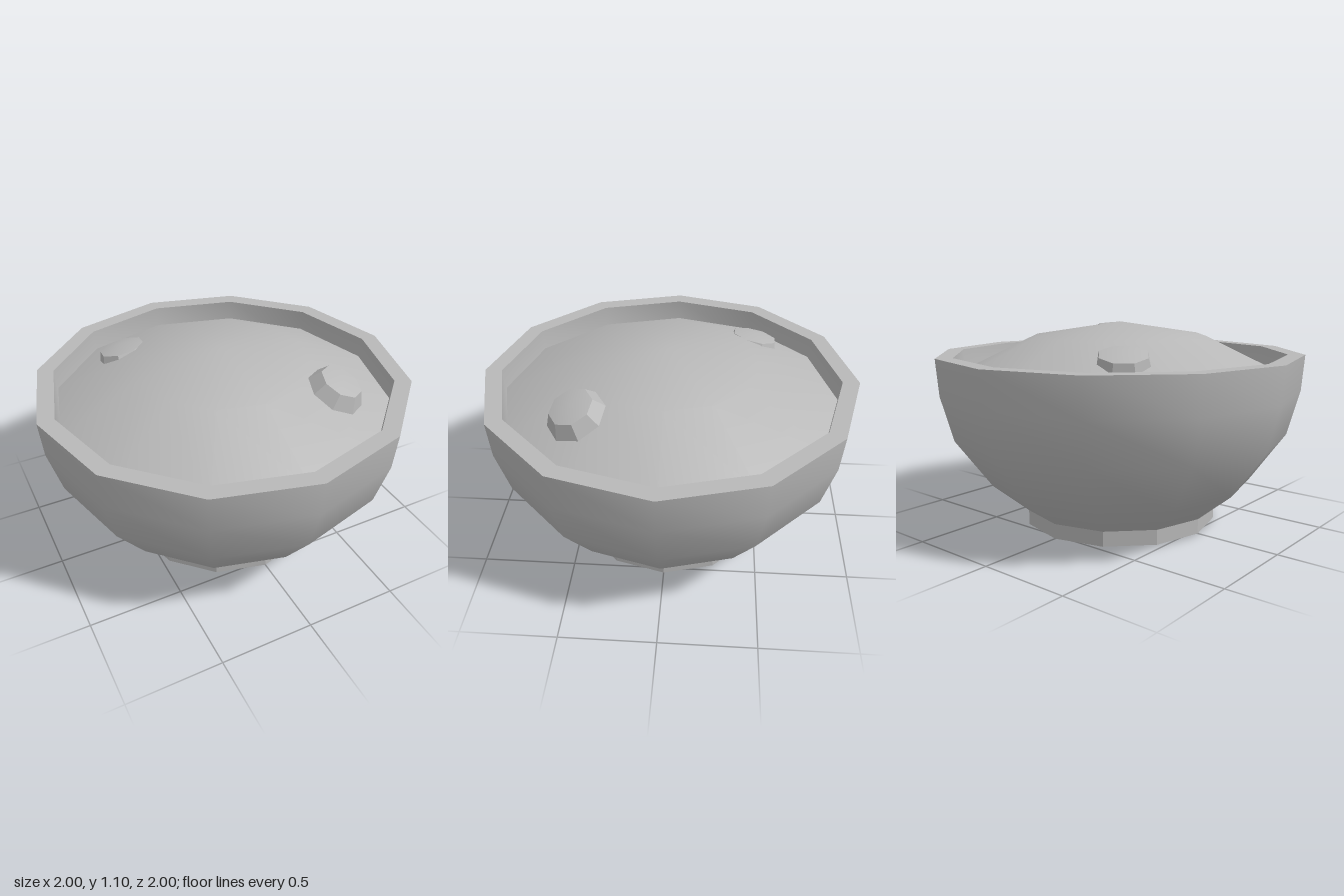
import * as THREE from 'three';
import { toCreasedNormals } from 'three/addons/utils/BufferGeometryUtils.js';

const SIDES = 12;

export function createModel() {
  const model = new THREE.Group();
  model.name = 'filledBowl';
  const grey = new THREE.MeshStandardMaterial({ color: 0xb8b8b8 });
  grey.name = 'light grey';

  // Revolve a bottom-to-top profile, keeping sharp corners crisp
  function turned(name, profile, sides, crease) {
    const points = profile.map(([r, y]) => new THREE.Vector2(r, y));
    const geometry = toCreasedNormals(new THREE.LatheGeometry(points, sides), crease);
    const mesh = new THREE.Mesh(geometry, grey);
    mesh.name = name;
    model.add(mesh);
    return mesh;
  }

  // Bowl: outer wall, flat rim and inner wall in one profile
  turned('bowl', [
    [0, 0.08], [0.535, 0.08], [0.73, 0.24], [0.92, 0.5], [0.985, 0.74], [1, 0.935],
    [0.91, 0.935], [0.9, 0.74], [0.82, 0.5], [0.6, 0.25], [0, 0.16],
  ], SIDES, 0.7);

  // Foot ring with a closed base
  turned('foot', [[0, 0], [0.535, 0], [0.535, 0.084], [0, 0.084]], SIDES, 0.4);

  // Domed filling, set just inside the rim
  turned('filling', [[0.898, 0.825], [0.47, 1.03], [0, 1.103]], SIDES, 0.7);

  // Faceted chunks, half sunk and leaning outwards with the dome
  function chunk(name, x, y, z, radius, capRadius, capHeight, lean, sides, turn) {
    const mesh = turned(name, [
      [0, -0.13], [radius * 0.75, -0.1], [radius, 0],
      [capRadius, capHeight], [0, capHeight + 0.02],
    ], sides, 0.4);
    mesh.geometry.rotateY(turn);
    const axis = new THREE.Vector3(z, 0, -x).normalize();
    mesh.quaternion.setFromAxisAngle(axis, lean);
    mesh.position.set(x, y, z);
  }
  chunk('frontChunk', 0.42, 0.935, 0.42, 0.17, 0.115, 0.095, 0.43, 8, 0.15);
  chunk('backChunk', -0.385, 0.925, -0.445, 0.145, 0.125, 0.06, 0.26, 8, 0.3);

  return model;
}
